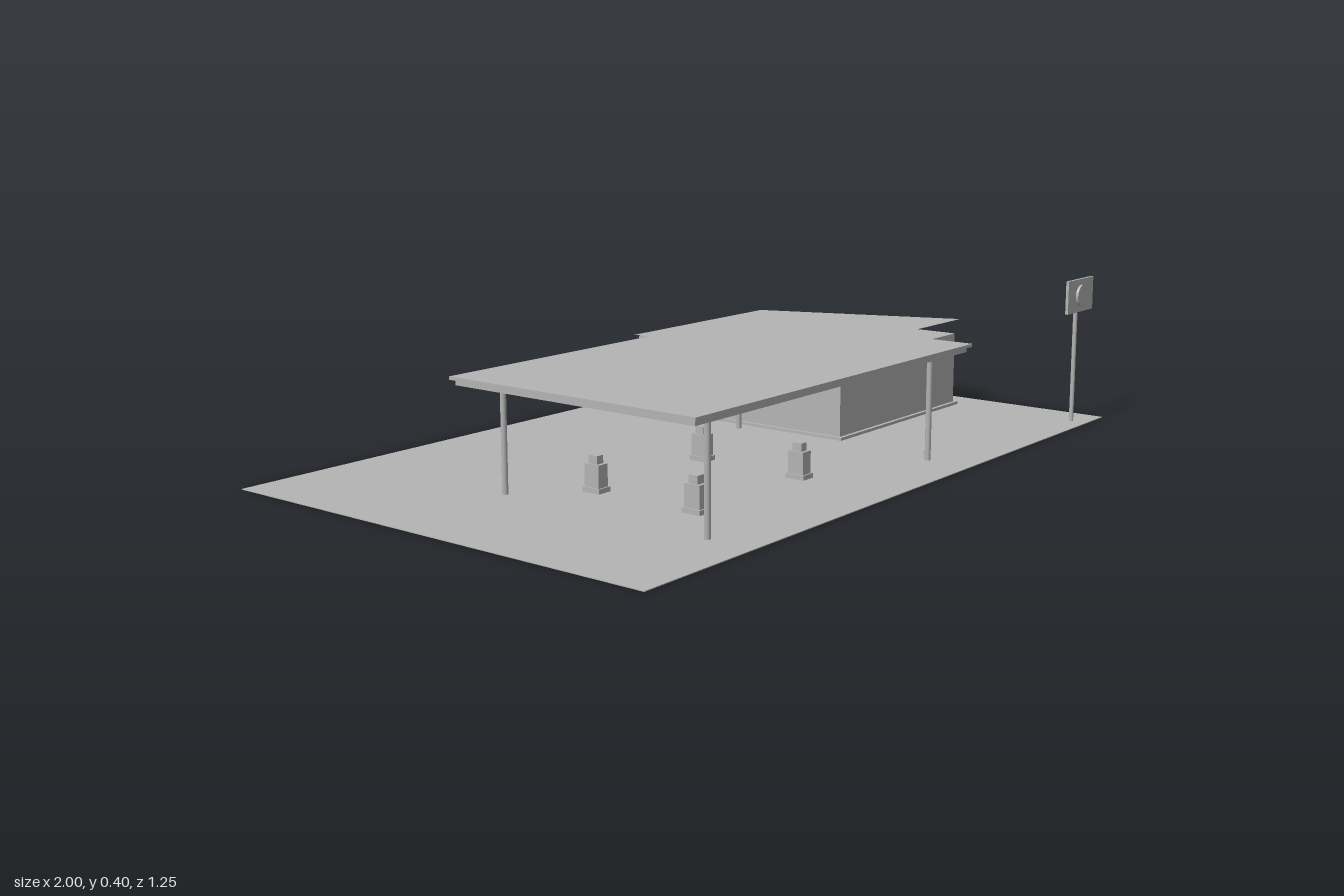
import * as THREE from 'three';

export function createModel() {
  const model = new THREE.Group();
  model.name = 'fillingStation';
  const grey = new THREE.MeshStandardMaterial({ color: 0xb4b4b4 });
  grey.name = 'plainGrey';
  const greySheet = new THREE.MeshStandardMaterial({ color: 0xb4b4b4, side: THREE.DoubleSide });
  greySheet.name = 'plainGreySheet';

  const add = (parent, name, geometry, x, y, z, material = grey) => {
    const mesh = new THREE.Mesh(geometry, material);
    mesh.name = name;
    mesh.position.set(x, y, z);
    parent.add(mesh);
    return mesh;
  };
  // box given by its ranges on each axis
  const box = (parent, name, [x0, x1], [y0, y1], [z0, z1]) =>
    add(parent, name, new THREE.BoxGeometry(x1 - x0, y1 - y0, z1 - z0),
      (x0 + x1) / 2, (y0 + y1) / 2, (z0 + z1) / 2);
  const post = (parent, name, r, h, x, z) =>
    add(parent, name, new THREE.CylinderGeometry(r, r, h, 12), x, h / 2, z);

  // forecourt
  box(model, 'forecourt', [-1, 1], [0, 0.002], [-0.623, 0.623]);

  // shop with plinth and a thin roof sheet rising towards the front
  const shop = new THREE.Group();
  shop.name = 'shop';
  model.add(shop);
  box(shop, 'plinth', [0.29, 0.905], [0, 0.01], [-0.51, 0.21]);
  box(shop, 'walls', [0.3, 0.895], [0.01, 0.212], [-0.5, 0.2]);
  const rise = 0.04, depth = 0.72;
  const roof = new THREE.PlaneGeometry(0.615, Math.hypot(depth, rise));
  roof.rotateX(-Math.PI / 2 - Math.atan2(rise, depth));
  add(shop, 'roof', roof, 0.5975, 0.234, -0.15, greySheet);

  // canopy on four columns
  const canopy = new THREE.Group();
  canopy.name = 'canopy';
  model.add(canopy);
  box(canopy, 'canopyTop', [-0.76, 0.36], [0.283, 0.291], [-0.16, 0.557]);
  box(canopy, 'canopySoffit', [-0.75, 0.35], [0.27, 0.283], [-0.15, 0.547]);
  for (const x of [-0.65, 0.25])
    for (const z of [-0.1, 0.5]) post(canopy, 'column', 0.0075, 0.27, x, z);

  // four fuel pumps
  for (const x of [-0.5, -0.1]) {
    for (const z of [0.05, 0.35]) {
      const pump = new THREE.Group();
      pump.name = 'pump';
      pump.position.set(x, 0, z);
      model.add(pump);
      box(pump, 'pumpBase', [-0.02, 0.02], [0, 0.014], [-0.026, 0.026]);
      box(pump, 'pumpBody', [-0.016, 0.016], [0.014, 0.07], [-0.022, 0.022]);
      box(pump, 'pumpHead', [-0.011, 0.011], [0.07, 0.09], [-0.013, 0.013]);
    }
  }

  // roadside sign
  const sign = new THREE.Group();
  sign.name = 'sign';
  model.add(sign);
  post(sign, 'signPole', 0.006, 0.4, 0.9, 0.576);
  box(sign, 'signPanel', [0.825, 0.975], [0.312, 0.403], [0.582, 0.59]);
  const disc = new THREE.CylinderGeometry(0.03, 0.03, 0.007, 24).rotateX(Math.PI / 2);
  add(sign, 'signDisc', disc, 0.9, 0.357, 0.5935);
  return model;
}
